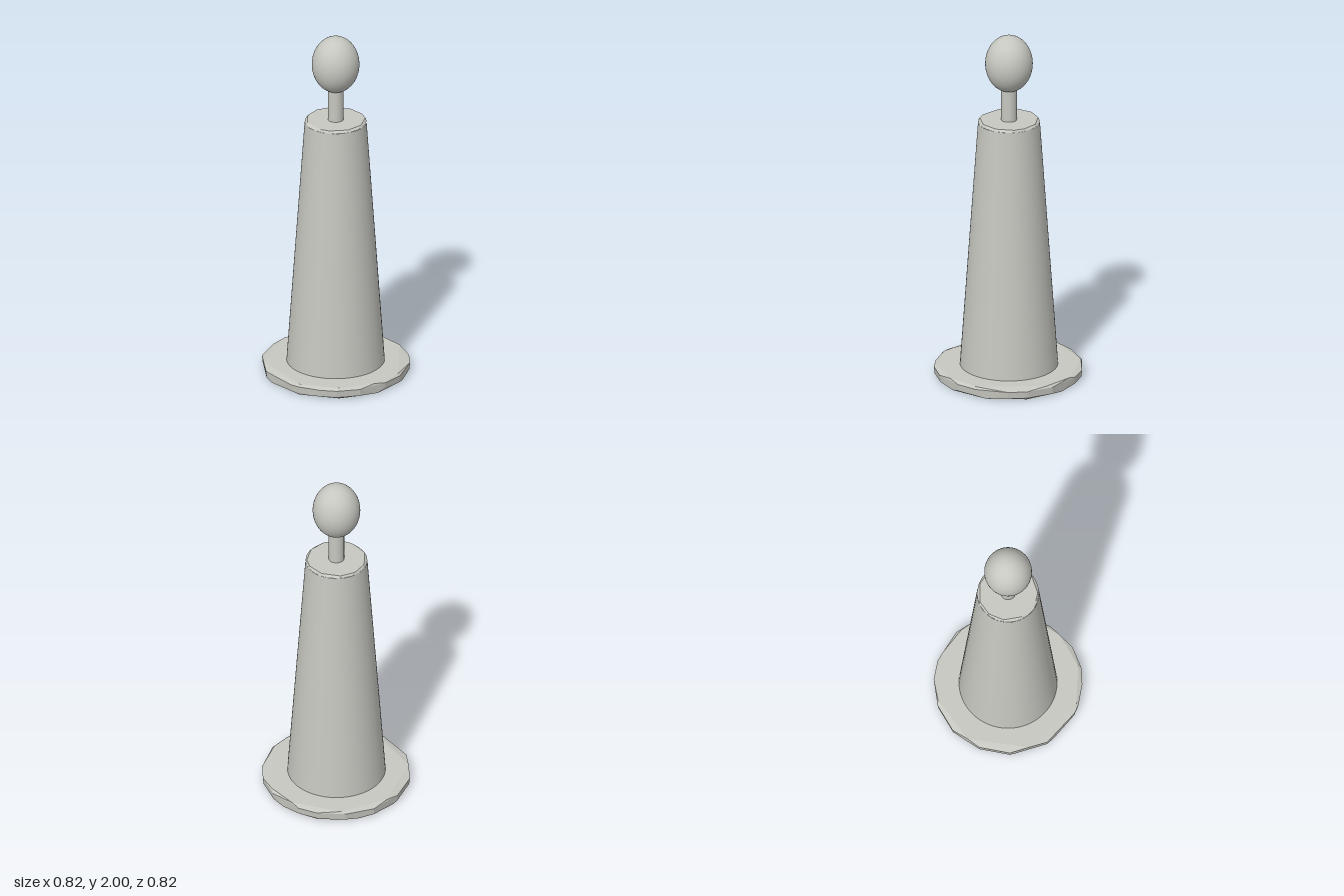
import * as THREE from 'three';
import { ConvexGeometry } from 'three/addons/geometries/ConvexGeometry.js';

const material = new THREE.MeshStandardMaterial({ color: 0xc6c7c0 });
material.name = 'stone grey';

function part(name, geometry, y = 0) {
  const mesh = new THREE.Mesh(geometry, material);
  mesh.name = name;
  mesh.position.y = y;
  return mesh;
}

// [x, z] outline lifted to a height
const lift = (outline, y, s = 1) => outline.map(([x, z]) => new THREE.Vector3(x * s, y, z * s));

export function createModel() {
  const group = new THREE.Group();

  // Roughly hewn base disc with unevenly chipped edges
  const rim = [[0, -0.408], [-0.11, -0.394], [-0.25, -0.324], [-0.36, -0.2], [-0.408, -0.03],
    [-0.386, 0.14], [-0.26, 0.315], [-0.05, 0.404], [0, 0.408], [0.12, 0.39], [0.21, 0.356],
    [0.31, 0.27], [0.386, 0.12], [0.408, 0], [0.368, -0.18], [0.31, -0.27], [0.19, -0.364]];
  const face = [[-0.22, -0.332], [0.05, -0.395], [0.21, -0.34], [0.396, 0], [0.35, 0.185],
    [0.21, 0.337], [0, 0.396], [-0.325, 0.23], [-0.385, -0.105]];
  const foot = [];
  for (let i = 0; i < 11; i++) {
    const a = (i / 11) * Math.PI * 2;
    foot.push([Math.sin(a) * 0.396, Math.cos(a) * 0.396]);
  }
  group.add(part('base', new ConvexGeometry([
    ...lift(foot, 0.003), ...lift(rim, 0.014, 0.99), ...lift(rim, 0.053), ...lift(face, 0.065),
  ])));

  // Smooth tapered tower
  group.add(part('tower', new THREE.CylinderGeometry(0.17, 0.27, 1.432, 64, 1, true), 0.779));

  // Faceted cap with a narrow chamfer
  const capFace = [[0, -0.162], [0.088, -0.137], [0.132, -0.098], [0.161, 0], [0.132, 0.092],
    [0.05, 0.155], [0, 0.161], [-0.113, 0.114], [-0.16, 0.028], [-0.153, -0.06], [-0.102, -0.128]];
  const capRim = [];
  for (let i = 0; i < 24; i++) {
    const a = (i / 24) * Math.PI * 2;
    capRim.push([Math.sin(a) * 0.17, Math.cos(a) * 0.17]);
  }
  group.add(part('towerCap', new ConvexGeometry([...lift(capRim, 1.495), ...lift(capFace, 1.507)])));

  // Neck and egg-shaped finial
  group.add(part('neck', new THREE.CylinderGeometry(0.043, 0.043, 0.22, 32), 1.605));
  const egg = new THREE.SphereGeometry(1, 48, 32).scale(0.131, 0.162, 0.131);
  group.add(part('finial', egg, 1.838));

  return group;
}
